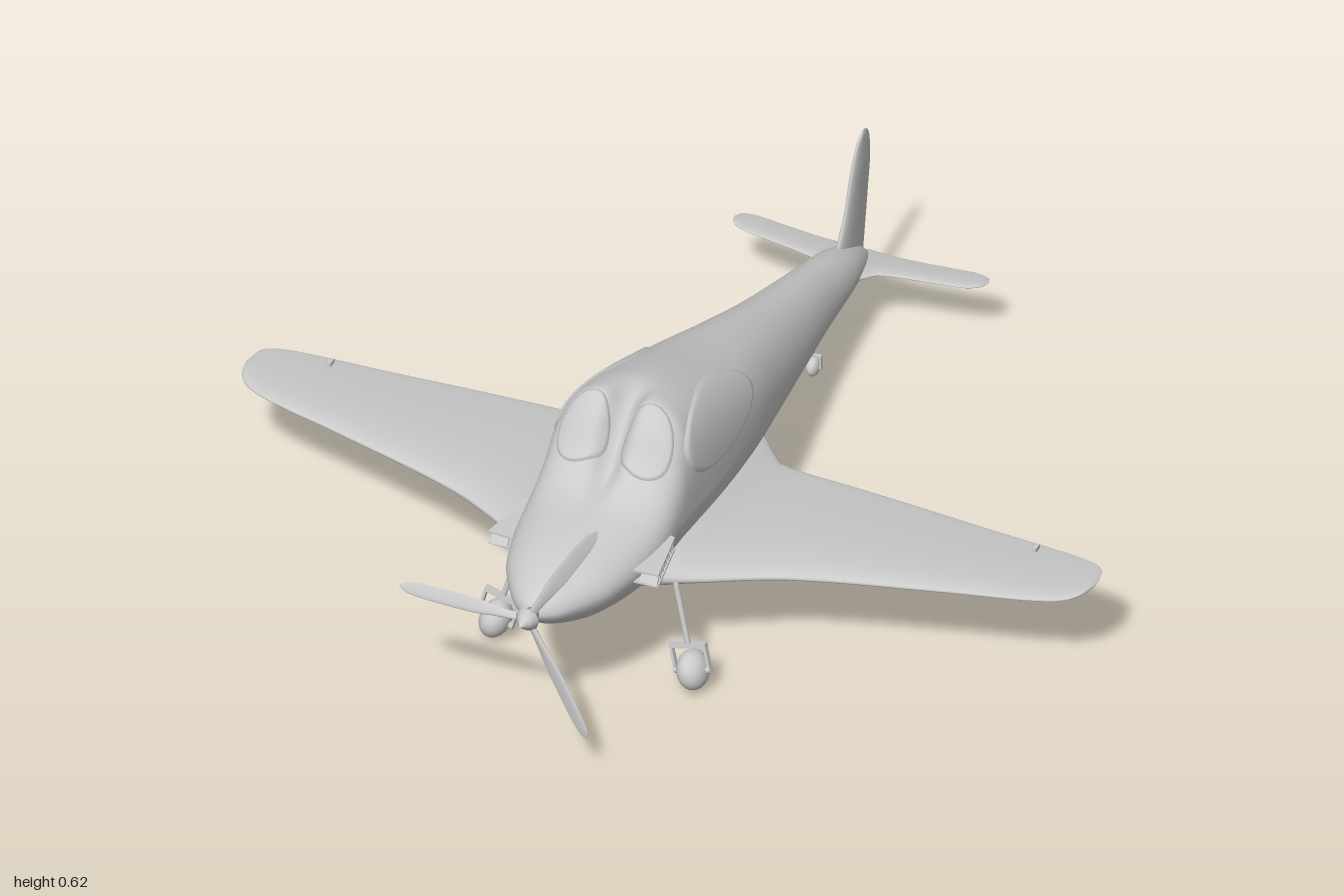
import * as THREE from 'three';
import { ParametricGeometry } from 'three/addons/geometries/ParametricGeometry.js';
import { mergeVertices } from 'three/addons/utils/BufferGeometryUtils.js';

const grey = new THREE.MeshStandardMaterial({ color: 0xcccccc });
const lerp = THREE.MathUtils.lerp;

// Smooth, overshoot-free interpolation of table rows keyed by their ascending first column
function at(table, key) {
  let i = 0;
  while (i < table.length - 2 && key > table[i + 1][0]) i++;
  const slope = (k, c) => (table[k + 1][c] - table[k][c]) / (table[k + 1][0] - table[k][0]);
  const tangent = (k, c) => {
    if (k === 0) return slope(0, c);
    if (k === table.length - 1) return slope(k - 1, c);
    const a = slope(k - 1, c), b = slope(k, c);
    return a * b <= 0 ? 0 : (2 * a * b) / (a + b);
  };
  const d = table[i + 1][0] - table[i][0];
  const t = THREE.MathUtils.clamp((key - table[i][0]) / d, 0, 1), t2 = t * t, t3 = t2 * t;
  return table[i].map((p, c) => c === 0 ? key :
    (2 * t3 - 3 * t2 + 1) * p + (t3 - 2 * t2 + t) * d * tangent(i, c) +
    (3 * t2 - 2 * t3) * table[i + 1][c] + (t3 - t2) * d * tangent(i + 1, c));
}

function mesh(name, geometry, x = 0, y = 0, z = 0) {
  const m = new THREE.Mesh(geometry, grey);
  m.name = name;
  m.position.set(x, y, z);
  return m;
}

// Smooth surface from a rule (u, v) -> [x, y, z], with seams welded
function surface(name, rule, nu, nv) {
  let g = new ParametricGeometry((u, v, p) => p.set(...rule(u, v)), nu, nv);
  g.deleteAttribute('normal');
  g.deleteAttribute('uv');
  g = mergeVertices(g, 1e-5);
  g.computeVertexNormals();
  return mesh(name, g);
}

// Hull stations: z, half width, top, bottom, widest height, roundness of the upper half
const HULL = [
  [-0.89, 0, 0.16, 0.155, 0.157, 2], [-0.87, 0.022, 0.18, 0.14, 0.16, 2],
  [-0.75, 0.052, 0.25, 0.13, 0.19, 2], [-0.6, 0.065, 0.3, 0.12, 0.21, 2],
  [-0.4, 0.09, 0.36, 0.11, 0.24, 2], [-0.2, 0.12, 0.425, 0.105, 0.28, 2.2],
  [0, 0.15, 0.49, 0.11, 0.32, 2.6], [0.2, 0.163, 0.563, 0.125, 0.34, 2.9],
  [0.3, 0.165, 0.595, 0.14, 0.35, 3], [0.36, 0.165, 0.607, 0.15, 0.355, 3],
  [0.4, 0.165, 0.577, 0.157, 0.36, 3], [0.45, 0.165, 0.51, 0.168, 0.36, 2.6],
  [0.5, 0.164, 0.465, 0.18, 0.355, 2.4], [0.56, 0.16, 0.443, 0.195, 0.35, 2.2],
  [0.7, 0.13, 0.425, 0.24, 0.35, 2], [0.8, 0.078, 0.4, 0.29, 0.35, 2],
  [0.845, 0.04, 0.38, 0.325, 0.35, 2], [0.865, 0, 0.352, 0.348, 0.35, 2],
];
// Groove between the two cockpit humps
const groove = (x, z) => 0.07 * Math.exp(-(((z - 0.4) / 0.09) ** 2) - (x / 0.03) ** 2);

function hullPoint(u, v) {
  const z = lerp(-0.89, 0.865, v), a = u * 2 * Math.PI;
  const [, w, top, bottom, mid, round] = at(HULL, z);
  const c = Math.cos(a), s = Math.sin(a), up = s >= 0, e = 2 / (up ? round : 1.7);
  const x = w * Math.sign(c) * Math.abs(c) ** e;
  const h = Math.abs(s) ** e;
  return [x, up ? mid + (top - mid) * h - groove(x, z) * h : mid - (mid - bottom) * h, z];
}

// Raised glass panes that follow the hull; the outermost ring sinks in to form the edge
const lift = (v) => (v > 0.96 ? -0.005 : 0.004);
const sideWindow = (side) => surface('sideWindow', (u, v) => {
  const a = u * 2 * Math.PI * side, c = v * Math.cos(a), s = v * Math.sin(a);
  const z = 0.188 + 0.207 * c, y = 0.467 + 0.08 * s * (1 + 0.25 * c) + 0.033 * c;
  const [, w, top, , mid, n] = at(HULL, z);
  const k = THREE.MathUtils.clamp((y - mid) / (top - mid), 0, 1);
  return [side * (w * (1 - k ** n) ** (1 / n) + lift(v)), y + lift(v) * 0.6, z];
}, 64, 16);
const windshield = (side) => surface('windshield', (u, v) => {
  const a = u * 2 * Math.PI;
  const x = side * 0.075 + 0.06 * v * Math.cos(a), z = 0.418 + 0.057 * v * Math.sin(a);
  const [, w, top, , mid, n] = at(HULL, z);
  const h = (1 - Math.min(1, Math.abs(x) / w) ** n) ** (1 / n);
  return [x, mid + (top - mid) * h - groove(x, z) * h + lift(v), z + lift(v) * 0.8];
}, 48, 16);

// Aerofoil loft; stations: span, leading z, trailing z, leading height, trailing height, thickness
function foil(name, stations, side = 1, upright = false, nv = 48) {
  const s0 = stations[0][0], s1 = stations[stations.length - 1][0];
  return surface(name, (u, v) => {
    const t = (upright ? 1 : -side) * u * 2 * Math.PI, k = (1 + Math.cos(t)) / 2;
    const span = lerp(s0, s1, Math.sin(v * Math.PI / 2));
    const [, le, te, hl, ht, thick] = at(stations, span);
    const h = lerp(ht, hl, k) + thick / 2 * Math.sin(t) * (0.75 + 0.4 * Math.cos(t));
    const z = lerp(te, le, k);
    return upright ? [h, span, z] : [side * span, h, z];
  }, 40, nv);
}
const WING = [
  [0.1, 0.56, -0.12, 0.27, 0.22, 0.13], [0.15, 0.53, -0.07, 0.265, 0.22, 0.11],
  [0.18, 0.51, -0.03, 0.26, 0.218, 0.085], [0.23, 0.48, -0.021, 0.255, 0.217, 0.065],
  [0.3, 0.435, -0.017, 0.25, 0.218, 0.055], [0.4, 0.385, -0.01, 0.247, 0.22, 0.05],
  [0.72, 0.29, 0.018, 0.245, 0.225, 0.034], [0.9, 0.24, 0.035, 0.243, 0.23, 0.024],
  [0.96, 0.21, 0.047, 0.241, 0.232, 0.02], [0.99, 0.17, 0.07, 0.24, 0.235, 0.015],
  [1, 0.125, 0.12, 0.238, 0.237, 0.002],
];
const STABILIZER = [
  [0.01, -0.7, -0.892, 0.19, 0.16, 0.03], [0.05, -0.755, -0.89, 0.18, 0.16, 0.02],
  [0.08, -0.795, -0.89, 0.174, 0.16, 0.014], [0.2, -0.822, -0.9, 0.17, 0.16, 0.012],
  [0.26, -0.835, -0.906, 0.168, 0.16, 0.01], [0.29, -0.855, -0.9, 0.166, 0.16, 0.008],
  [0.3, -0.876, -0.88, 0.163, 0.163, 0.001],
];
const FIN = [
  [0.15, -0.72, -0.885, 0, 0, 0.03], [0.25, -0.755, -0.903, 0, 0, 0.024],
  [0.31, -0.79, -0.913, 0, 0, 0.02], [0.4, -0.825, -0.925, 0, 0, 0.018],
  [0.44, -0.845, -0.921, 0, 0, 0.014], [0.465, -0.866, -0.91, 0, 0, 0.01],
  [0.476, -0.888, -0.892, 0, 0, 0.001],
];
const BLADE = [
  [0.01, 0.008, -0.008, 0, 0, 0.014], [0.06, 0.011, -0.01, 0, 0, 0.012],
  [0.14, 0.018, -0.017, 0, 0, 0.009], [0.23, 0.017, -0.017, 0, 0, 0.007],
  [0.28, 0.013, -0.013, 0, 0, 0.005], [0.302, 0.002, -0.002, 0, 0, 0.001],
];

function propeller() {
  const g = new THREE.Group();
  g.name = 'propeller';
  for (let i = 0; i < 3; i++) {
    const arm = new THREE.Group();
    arm.name = 'propellerBlade';
    const blade = foil('blade', BLADE, 1, false, 20);
    blade.rotation.x = -1.35;
    arm.add(blade);
    arm.rotation.z = Math.PI + i * 2 * Math.PI / 3;
    g.add(arm);
  }
  const profile = [[0, -0.025], [0.016, -0.025], [0.018, -0.006], [0.027, 0.003], [0.014, 0.022], [0, 0.042]];
  const spinner = mesh('spinner', new THREE.LatheGeometry(profile.map((p) => new THREE.Vector2(...p)), 24));
  spinner.rotation.x = Math.PI / 2;
  g.add(spinner);
  g.position.set(0, 0.355, 0.882);
  g.rotation.x = -0.095;
  return g;
}

// Wheel with hub, fork and strut, built around the axle
function gear(name, r, width, length) {
  const g = new THREE.Group(), k = r * 0.14, half = width / 2 + k, bridge = r * 1.3;
  g.name = name;
  const tyre = mesh('wheel', new THREE.SphereGeometry(r, 28, 20));
  tyre.scale.x = width / (2 * r);
  const axle = mesh('axle', new THREE.CylinderGeometry(k * 1.3, k * 1.3, half * 2 + k, 12));
  axle.rotation.z = Math.PI / 2;
  g.add(tyre, axle, mesh('forkBridge', new THREE.BoxGeometry(half * 2 + k, k * 1.6, k * 2.4), 0, bridge, 0));
  for (const s of [-1, 1])
    g.add(mesh('forkArm', new THREE.BoxGeometry(k, bridge, k * 2), s * half, bridge / 2, 0));
  g.add(mesh('strut', new THREE.CylinderGeometry(k, k, length - bridge, 12), 0, (length + bridge) / 2, 0));
  return g;
}

// Louvred side intake: two plates with slanted slats between them
function intake(side) {
  const g = new THREE.Group();
  g.name = 'sideIntake';
  const plan = new THREE.Shape([[0.13, -0.645], [0.2, -0.64], [0.176, -0.5], [0.14, -0.49]]
    .map(([x, y]) => new THREE.Vector2(side * x, y)));
  for (const y of [0.335, 0.364]) {
    const plate = mesh('intakePlate', new THREE.ExtrudeGeometry(plan, { depth: 0.005, bevelEnabled: false }), 0, y, 0);
    plate.rotation.x = -Math.PI / 2;
    g.add(plate);
  }
  for (let i = 0; i < 6; i++) {
    const slat = mesh('intakeSlat', new THREE.BoxGeometry(0.04, 0.036, 0.005), side * (0.172 - 0.004 * (5 - i) + 0.004), 0.352, 0.51 + i * 0.024);
    slat.rotation.x = -0.6;
    g.add(slat);
  }
  return g;
}

export function createModel() {
  const plane = new THREE.Group();
  plane.name = 'airplane';
  plane.add(surface('fuselage', hullPoint, 144, 130), foil('tailFin', FIN, 1, true), propeller());
  for (const s of [-1, 1]) {
    const main = gear('mainGear', 0.045, 0.068, 0.21);
    main.position.set(s * 0.232, 0.055, 0.53);
    main.rotation.set(-0.12, 0, s * 0.25);
    plane.add(foil('wing', WING, s), foil('stabilizer', STABILIZER, s), sideWindow(s), windshield(s), intake(s), main);
    plane.add(mesh('wingPin', new THREE.BoxGeometry(0.008, 0.01, 0.02), s * 0.83, 0.242, 0.06));
  }
  const tail = gear('tailWheel', 0.023, 0.03, 0.11);
  tail.position.set(0, 0.023, -0.625);
  plane.add(tail);
  return plane;
}
